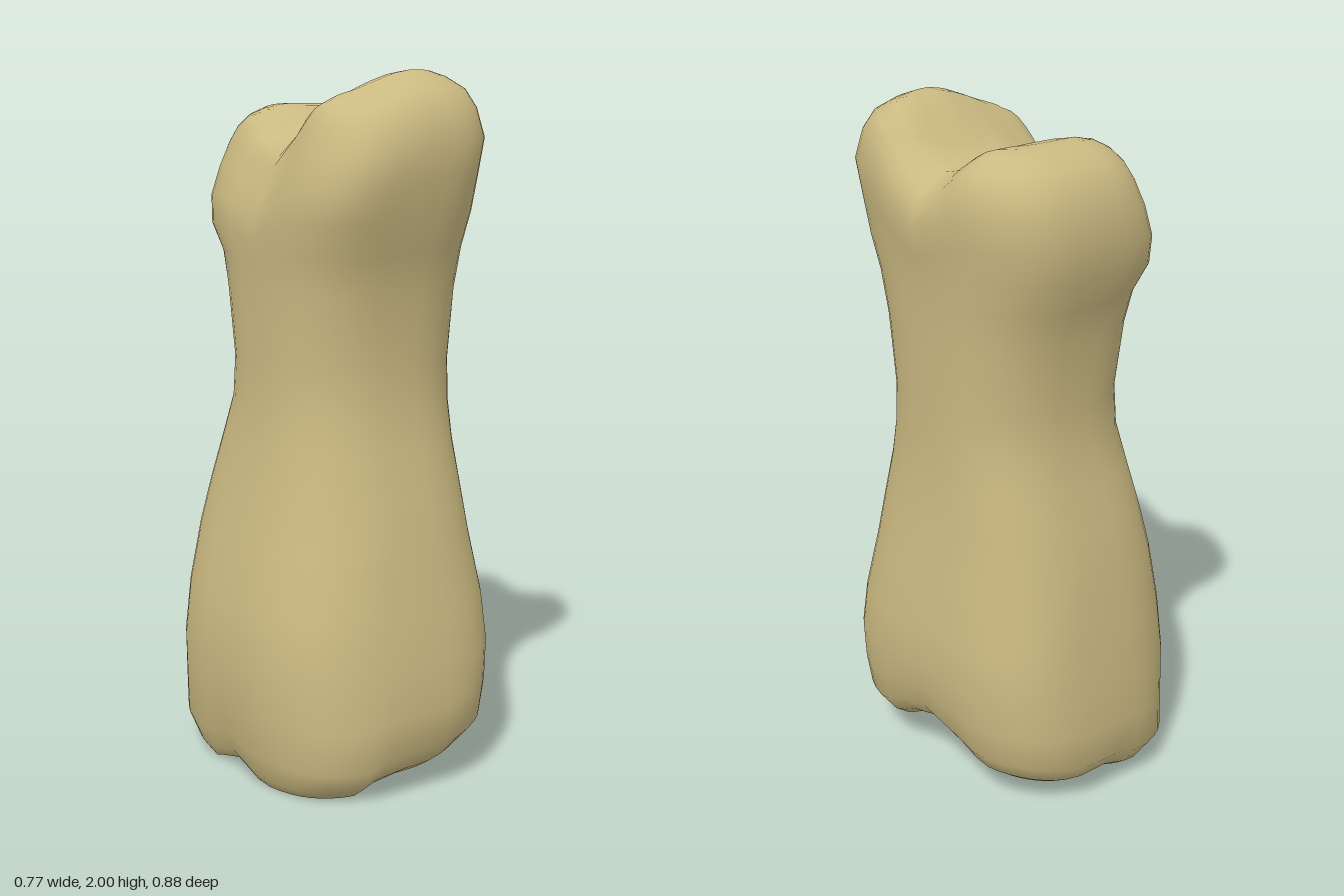
import * as THREE from 'three';

const SEGMENTS = 48;
const smooth = THREE.MathUtils.smoothstep;

// Squareness of the four corners: front left, front right, back right, back left
const FOOT = [3.0, 3.3, 2.9, 3.5];
const BASE = [3.0, 2.85, 2.55, 3.35];
const FLARE = [2.8, 2.5, 2.8, 2.8];
const WAIST = [2.6, 2.5, 2.4, 2.5];
const NECK = [2.8, 2.9, 2.8, 2.7];
const HEAD = [3.1, 3.8, 3.6, 2.9];

// Outline of the bone by height: y, xMin, xMax, zMin, zMax, corners
const sections = [
  [0.00, -0.315, 0.28, -0.34, 0.34, FOOT],
  [0.03, -0.335, 0.315, -0.38, 0.38, FOOT],
  [0.10, -0.357, 0.35, -0.43, 0.435, FOOT],
  [0.22, -0.375, 0.368, -0.435, 0.44, BASE],
  [0.36, -0.382, 0.38, -0.427, 0.432, BASE],
  [0.52, -0.367, 0.375, -0.41, 0.405, BASE],
  [0.70, -0.325, 0.352, -0.385, 0.372, FLARE],
  [0.84, -0.295, 0.335, -0.36, 0.345, FLARE],
  [0.97, -0.268, 0.322, -0.325, 0.312, FLARE],
  [1.08, -0.255, 0.32, -0.308, 0.298, WAIST],
  [1.20, -0.25, 0.32, -0.30, 0.29, WAIST],
  [1.40, -0.25, 0.325, -0.32, 0.305, NECK],
  [1.52, -0.252, 0.33, -0.355, 0.34, NECK],
  [1.62, -0.256, 0.335, -0.385, 0.37, HEAD],
  [1.72, -0.252, 0.345, -0.40, 0.39, HEAD],
  [1.82, -0.225, 0.357, -0.395, 0.40, HEAD],
  [1.90, -0.20, 0.343, -0.37, 0.37, HEAD],
  [1.95, -0.185, 0.32, -0.335, 0.335, HEAD],
  [1.985, -0.165, 0.28, -0.285, 0.275, HEAD],
];

// Two condyles with a shallow groove, deeper on the low side
function topHeight(x, z) {
  const front = 2.002 - 0.075 * smooth(0.12 - x, 0, 0.28);
  const back = 1.915 - 0.04 * smooth(0.0 - x, 0, 0.25);
  const groove = 1.845 - 0.08 * smooth(0.02 - x, 0, 0.25) - 0.03 * smooth(x, 0.15, 0.35);
  const f = smooth(z, 0, 0.21);
  const b = smooth(-z, 0.02, 0.19);
  return groove + (front - groove) * f + (back - groove) * b;
}

// Two feet on the low side, rising to an arched edge on the other
function bottomHeight(x, z) {
  const rise = 0.04 * smooth(x, -0.14, -0.05) + 0.05 * smooth(x, 0.05, 0.32);
  const notch = 0.04 * (1 - smooth(Math.abs(z), 0.04, 0.12)) * (1 - smooth(x, -0.1, 0.1));
  const arch = 0.09 * (1 - smooth(Math.abs(z), 0.02, 0.24)) * smooth(x, -0.1, 0.25);
  return rise + notch + arch;
}

function boneGeometry() {
  // Close both ends with rings shrinking to the middle
  const shrink = (s, y, k) => {
    const cx = (s[1] + s[2]) / 2, cz = (s[3] + s[4]) / 2;
    return [y, cx + (s[1] - cx) * k, cx + (s[2] - cx) * k,
      cz + (s[3] - cz) * k, cz + (s[4] - cz) * k, s[5]];
  };
  const last = sections[sections.length - 1];
  const inner = [0.85, 0.7, 0.55, 0.4, 0.25, 0.12, 0.001];
  const rings = [
    ...inner.slice().reverse().map(k => shrink(sections[0], 0, k)),
    ...sections,
    ...inner.map(k => shrink(last, 2, k)),
  ];

  const positions = [], index = [];
  rings.forEach(([y0, x0, x1, z0, z1, corners], j) => {
    for (let i = 0; i < SEGMENTS; i++) {
      const a = (i / SEGMENTS) * Math.PI * 2;
      const c = Math.cos(a), s = Math.sin(a);
      const n = corners[Math.floor(i * 4 / SEGMENTS)];
      const px = Math.sign(c) * Math.abs(c) ** (2 / n);
      const pz = Math.sign(s) * Math.abs(s) ** (2 / n);
      const z = (z0 + z1) / 2 + pz * (z1 - z0) / 2;
      // The wide base is slightly skewed front to back
      const skew = 0.05 * (1 - smooth(y0, 0.5, 1.1)) * z;
      const x = (x0 + x1) / 2 + px * (x1 - x0) / 2 + skew;
      let y = y0;
      if (y0 > 1.4) y = 1.4 + (y0 - 1.4) * (topHeight(x, z) - 1.4) / 0.6;
      if (y0 < 0.5) y = 0.5 - (0.5 - y0) * (0.5 - bottomHeight(x, z)) / 0.5;
      positions.push(x, y, z);
      if (j < rings.length - 1) {
        const k = (i + 1) % SEGMENTS;
        const p = j * SEGMENTS + i, q = j * SEGMENTS + k;
        index.push(p, p + SEGMENTS, q, q, p + SEGMENTS, q + SEGMENTS);
      }
    }
  });

  const geometry = new THREE.BufferGeometry();
  geometry.setAttribute('position', new THREE.Float32BufferAttribute(positions, 3));
  geometry.setIndex(index);
  geometry.computeVertexNormals();
  return geometry;
}

export function createModel() {
  const group = new THREE.Group();
  group.name = 'toeBone';
  const boneMaterial = new THREE.MeshStandardMaterial({ color: 0xcab981 });
  boneMaterial.name = 'bone';
  const bone = new THREE.Mesh(boneGeometry(), boneMaterial);
  bone.name = 'bone';
  group.add(bone);
  return group;
}
